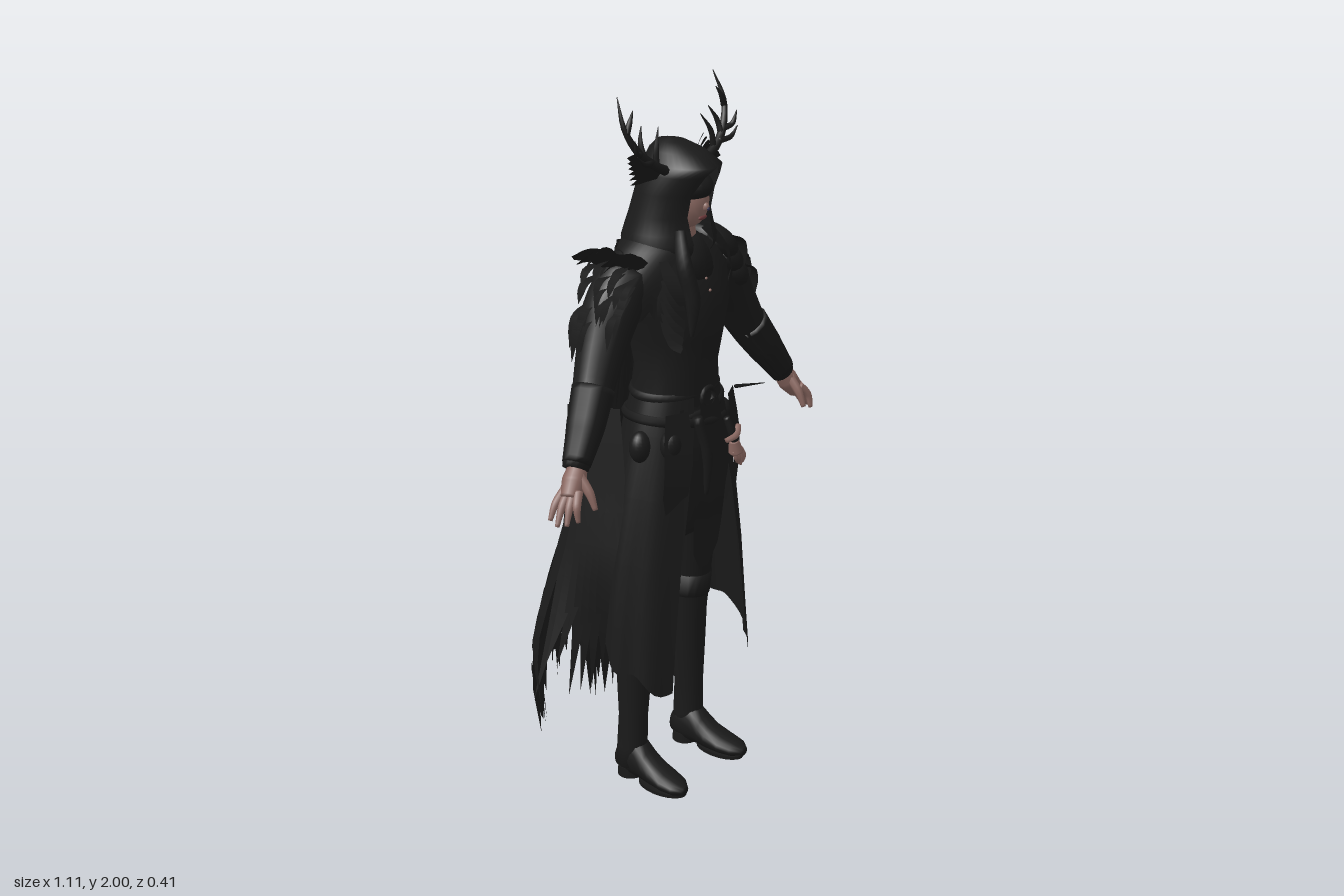
import * as THREE from 'three';

const V = (p) => new THREE.Vector3(...p);
let seed = 7;
const rnd = (a, b) => { seed = (seed * 16807) % 2147483647; return a + (b - a) * (seed / 2147483647); };
const lerp = THREE.MathUtils.lerp;

// linear lookup in evenly spaced values
function sample(arr, t) {
  const f = THREE.MathUtils.clamp(t, 0, 1) * (arr.length - 1), i = Math.min(Math.floor(f), arr.length - 2);
  return lerp(arr[i], arr[i + 1], f - i);
}

// surface from a point rule: j runs across, i runs upward
function grid(cols, rows, fn, closed) {
  const pos = [], idx = [], n = closed ? cols : cols + 1;
  for (let i = 0; i <= rows; i++) for (let j = 0; j < n; j++) pos.push(...fn(j / cols, i));
  for (let i = 0; i < rows; i++) for (let j = 0; j < cols; j++) {
    const a = i * n + j, b = i * n + (j + 1) % n;
    idx.push(a, b, b + n, a, b + n, a + n);
  }
  const g = new THREE.BufferGeometry();
  g.setAttribute('position', new THREE.Float32BufferAttribute(pos, 3));
  g.setIndex(idx);
  g.computeVertexNormals();
  return g;
}

// rings [cx, cy, cz, rx, rz] from bottom to top, capped
function loft(rings, sides = 24) {
  const r = [[...rings[0].slice(0, 3), 0, 0], ...rings, [...rings.at(-1).slice(0, 3), 0, 0]];
  return grid(sides, r.length - 1, (u, i) => {
    const a = u * Math.PI * 2, [x, y, z, rx, rz] = r[i];
    return [x + rx * Math.sin(a), y, z + rz * Math.cos(a)];
  }, true);
}

// shell open at the front: rings [y, rx, zFront, zBack, openingDegrees]
function openShell(rings, cols, warp = (p) => p) {
  return grid(cols, rings.length - 1, (u, i) => {
    const [y, rx, zf, zb, open] = rings[i], o = open * Math.PI / 180, a = lerp(o, Math.PI * 2 - o, u);
    return warp([rx * Math.sin(a), y, (zf + zb) / 2 + (zf - zb) / 2 * Math.cos(a)], a, i / (rings.length - 1));
  });
}

// tapered round limb along a curve
function limb(points, radii, sides = 8, rows = 14) {
  const c = new THREE.CatmullRomCurve3(points.map(V)), f = c.computeFrenetFrames(rows);
  return grid(sides, rows + 2, (u, i) => {
    const k = THREE.MathUtils.clamp(i - 1, 0, rows), r = i === 0 || i === rows + 2 ? 0 : sample(radii, k / rows);
    const a = u * Math.PI * 2;
    return c.getPointAt(k / rows).addScaledVector(f.normals[k], r * Math.cos(a))
      .addScaledVector(f.binormals[k], r * Math.sin(a)).toArray();
  }, true);
}

// thin feather or cloth strip along a curve
function strip(points, width, dir, profile = [0.6, 1, 0.95, 0.7, 0]) {
  const c = new THREE.CatmullRomCurve3(points.map(V)), d = V(dir).normalize();
  return grid(2, 8, (u, i) => c.getPoint(i / 8).addScaledVector(d, (u - 0.5) * width * sample(profile, i / 8)).toArray());
}

// cape: rows [y, xRight, xLeft, zBack]
const capeRows = [[1.58, -.18, .18, -.08], [1.4, -.2, .22, -.103], [1.1, -.253, .28, -.138], [.8, -.335, .28, -.165], [.5, -.445, .26, -.188], [.1, -.4, .21, -.195]];
function capePoint(u, y, off = 0) {
  let i = 0;
  while (i < capeRows.length - 2 && y < capeRows[i + 1][0]) i++;
  const a = capeRows[i], b = capeRows[i + 1], t = (a[0] - y) / (a[0] - b[0]);
  const [, x0, x1, back] = a.map((n, k) => lerp(n, b[k], t));
  return [lerp(x0, x1, (u + 1) / 2), y, back + 0.1 * Math.abs(u) ** 3.5 + 0.007 * Math.sin(u * 24 + y * 3) - off];
}
const hem = (u) => sample([.36, .16, .32, .38, .35, .24, .19, .21, .28, .38, .44], (u + 1) / 2);

export function createModel() {
  const model = new THREE.Group();
  const mat = (name, color) => Object.assign(new THREE.MeshStandardMaterial({ color, side: THREE.DoubleSide }), { name });
  const cloth = mat('black cloth', 0x1a1a1a), leather = mat('dark leather', 0x191919);
  const skin = mat('skin', 0x8a6861), lip = mat('lips', 0x6e3a3c), gem = mat('blue gem', 0x2b2b4a);
  const add = (name, geo, m = cloth) => {
    const mesh = new THREE.Mesh(geo, m);
    mesh.name = name;
    model.add(mesh);
    return mesh;
  };
  const ball = (name, p, s, m) => { const b = add(name, new THREE.SphereGeometry(1, 20, 14), m); b.position.set(...p); b.scale.set(...s); return b; };

  // body
  add('torso', loft([[0, 1.05, .04, .15, .11], [0, 1.14, .045, .14, .11], [0, 1.25, .05, .122, .108], [0, 1.34, .05, .138, .123],
    [0, 1.42, .05, .165, .128], [0, 1.5, .035, .19, .115], [0, 1.56, .02, .16, .09], [0, 1.6, .02, .06, .06]]));
  add('neck', limb([[0, 1.54, .06], [0, 1.68, .06]], [.05, .038]), skin);
  add('tunicSkirt', loft([[0, .76, .03, .155, .09], [0, .95, .035, .165, .105], [0, 1.14, .045, .143, .113]]));

  // head
  ball('face', [0, 1.705, .078], [.054, .078, .07], skin);
  ball('nose', [0, 1.694, .146], [.009, .012, .011], skin);
  ball('noseGem', [0, 1.69, .156], [.005, .005, .004], gem);
  ball('lips', [0, 1.664, .137], [.017, .006, .006], lip);
  ball('eyeMask', [0, 1.743, .083], [.064, .045, .075], leather);

  // hood and shoulder mantle
  add('hood', openShell([[1.565, .128, .135, -.08, 18], [1.58, .136, .145, -.094, 18], [1.6, .135, .147, -.097, 18], [1.625, .127, .14, -.09, 20], [1.67, .114, .132, -.076, 24],
    [1.73, .105, .148, -.06, 27], [1.78, .095, .172, -.05, 18], [1.805, .084, .183, -.043, 0], [1.835, .061, .135, -.028, 0], [1.855, .032, .08, -.008, 0], [1.862, 0, .03, .03, 0]], 36));
  add('mantle', openShell([[1.42, .2, .15, -.095, 50], [1.48, .225, .15, -.1, 45], [1.54, .21, .145, -.094, 36], [1.59, .16, .13, -.083, 22], [1.62, .11, .11, -.07, 20]], 36,
    (p, a, t) => [p[0], p[1] + (t === 0 ? .02 * Math.sin(a * 17) : 0), p[2]]));
  add('collar', loft([[0, 1.5, .06, .11, .09], [0, 1.56, .06, .08, .08], [0, 1.605, .06, .054, .054]]));

  // antlers, ear feathers, arms and legs, mirrored
  for (const s of [1, -1]) {
    const side = s > 0 ? 'left' : 'right';
    const M = (pts) => pts.map(([x, y, z]) => [x * s, y, z]);
    const tines = [
      [[.07, 1.79, .08], [.13, 1.82, .08], [.18, 1.865, .065], [.207, 1.925, .045], [.198, 2, .015]],
      [[.12, 1.81, .08], [.115, 1.86, .075], [.088, 1.91, .06]],
      [[.16, 1.84, .075], [.16, 1.88, .06], [.14, 1.92, .045]],
      [[.175, 1.855, .07], [.2, 1.865, .08], [.213, 1.9, .085]],
      [[.203, 1.91, .05], [.19, 1.94, .05], [.172, 1.965, .045]],
      [[.14, 1.83, .08], [.18, 1.835, .09], [.21, 1.86, .09]]];
    tines.forEach((t, i) => add(side + 'Antler', limb(M(t), i ? [.009, .007, .001] : [.014, .012, .01, .007, .001], 7), leather));
    for (let k = 0; k < 6; k++)
      add(side + 'EarFeather', strip(M([[.08, 1.79, .07 - k * .006], [.13, 1.79 + k * .007, .065 - k * .008], [.19 - k * .006, 1.775 + k * .012, .05 - k * .007]]), .036, [.2 * s, 1, .4]));

    // sleeve, cuff and hand
    add(side + 'Sleeve', limb(M([[.16, 1.52, .015], [.21, 1.47, .015], [.27, 1.37, .022], [.34, 1.25, .042], [.4, 1.165, .065], [.455, 1.088, .08]]), [.075, .078, .066, .055, .049, .035], 14, 20));
    add(side + 'Bracer', limb(M([[.335, 1.265, .042], [.4, 1.168, .065], [.45, 1.1, .08]]), [.057, .051, .038], 12), leather);
    add(side + 'Palm', limb(M([[.44, 1.1, .08], [.475, 1.055, .09], [.5, 1.025, .098]]), [.024, .032, .025], 10), skin);
    [[.55, .975, .075], [.552, .965, .1], [.54, .968, .122], [.515, .975, .14]].forEach((t, k) =>
      add(side + 'Finger', limb(M([[.487, 1.045, .075 + k * .014], [.527 - k * .005, 1.012, .073 + k * .02], t]), [.013, .011, .006], 7), skin));
    add(side + 'Thumb', limb(M([[.462, 1.075, .1], [.462, 1.035, .135], [.462, .995, .153]]), [.015, .013, .007], 7), skin);

    // legs and boots
    const widths = [[.041, .046], [.04, .046], [.04, .043], [.049, .05], [.052, .053], [.054, .056], [.07, .072], [.08, .085]];
    add(side + 'Leg', loft(M([[.13, .04, -.006], [.13, .1, -.003], [.128, .2, 0], [.124, .33, 0], [.122, .45, .003], [.117, .55, .015], [.11, .75, .025], [.088, 1, .03]])
      .map((p, i) => [...p, ...widths[i]]), 18));
    add(side + 'BootCuff', loft([[.12 * s, .5, .008, .056, .059], [.117 * s, .57, .015, .058, .062]], 18), leather);
    const foot = loft([[.127, -.05, -.05, .026, .035], [.127, -.02, -.06, .04, .056], [.128, .03, -.064, .042, .062], [.13, .06, -.05, .043, .047], [.131, .085, -.04, .045, .037],
      [.135, .13, -.03, .046, .027], [.138, .17, -.025, .038, .021], [.14, .197, -.023, .015, .013]].map((r) => [r[0] * s, ...r.slice(1)]), 16);
    add(side + 'Boot', foot.rotateX(Math.PI / 2), leather);
    add(side + 'Heel', new THREE.CylinderGeometry(.036, .038, .03, 16).translate(.127 * s, .015, -.012), leather);
    add(side + 'Sole', new THREE.CylinderGeometry(1, 1, .01, 20).scale(.044, 1, .08).translate(.135 * s, .005, .112), leather);

    // upper arm feathers, fuller on the right shoulder
    const n = s < 0 ? 24 : 14;
    for (let k = 0; k < n; k++) {
      const t = k / n, a = rnd(-1, 1), out = s < 0 ? .06 : .04;
      const x = lerp(.17, .25, t) + .06 * Math.cos(a), y = lerp(1.55, 1.42, t), z = .015 + .08 * Math.sin(a);
      const lift = s < 0 ? .045 * (1 - t * 2) : -.03;
      add(side + 'ArmFeather', strip(M([[x - .03, y + .02, z], [x + out * .4, y + lift * .3, z * 1.15], [x + out * .6 + .01, y + lift - .06, z * 1.2]]), .042, [.3 * s * Math.cos(a), .2, 1]));
    }
  }
  for (let k = 0; k < 8; k++)
    add('rightShoulderPlume', strip([[-.17, 1.56, .08 - k * .02], [-.23, 1.57 + rnd(0, .02), .07 - k * .02], [-.295 + rnd(-.01, .04), 1.535 + rnd(0, .1), .06 - k * .018]], .05, [.3, 1, .8]));
  for (let k = 0; k < 3; k++) {
    const p = ball('leftShoulderPlate', [.183 + k * .026, 1.53 - k * .045, .014], [.082 - k * .004, .052, .092], leather);
    p.rotation.z = -.75;
  }

  // braid, chest feathers and buttons
  add('braid', limb([[-.075, 1.64, .12], [-.1, 1.56, .155], [-.09, 1.47, .175], [-.095, 1.37, .178]], [.015, .022, .022, .005]));
  for (let k = 0; k < 6; k++)
    add('chestFeather', strip([[-.13, 1.57 - k * .03, .11], [-.13, 1.5 - k * .03, .15], [-.1 - k * .006, 1.43 - k * .02, .168]], .04, [1, 0, .5]));
  for (const y of [1.47, 1.5]) ball('button', [0, y, y === 1.5 ? .15 : .164], [.004, .004, .004], skin);

  // coat skirt, open at the front and longer there
  add('coat', openShell([[.34, .262, .215, -.125, 40], [.5, .252, .207, -.128, 37], [.7, .232, .2, -.122, 34], [.9, .2, .19, -.108, 29], [1.08, .165, .17, -.08, 22], [1.18, .135, .155, -.06, 20]], 60,
    (p, a, t) => {
      const k = 1 + .03 * (1 - t) * Math.sin(a * 11), rise = (1 - t) ** 2;
      return [p[0] * k, p[1] + rise * (.11 * (1 - Math.cos(a)) - .028 + .015 * Math.sin(a * 9)), p[2] * k];
    }));

  // front panels
  add('frontPanel', strip([[0, 1.16, .165], [0, .98, .178], [0, .82, .165], [0, .66, .15]], .13, [1, 0, 0], [.6, .75, .9, 1, 1, 1, .95, .85, .3]));
  for (const x of [-.115, -.06, .065, .12])
    add('sidePanel', strip([[x, 1.15, .145], [x * 1.1, 1, .16], [x * 1.2, .8 + Math.abs(x) * .3, .145]], .085, [1, 0, -x * 4], [.8, 1, 1, .9, .3]));

  // belts, pouches and charms
  const belt = (y, tilt, r) => {
    const b = add('belt', new THREE.TorusGeometry(1, .09, 6, 40).rotateX(Math.PI / 2).scale(r, .16, r * .78), leather);
    b.position.set(0, y, .045);
    b.rotation.z = tilt;
  };
  belt(1.18, 0, .131); belt(1.13, .12, .144); belt(1.1, -.16, .153);
  add('buckle', new THREE.TorusGeometry(.026, .007, 6, 16).translate(0, 1.17, .16), leather);
  for (const [x, y, z] of [[-.12, 1.06, .13], [-.165, 1.05, .06], [.15, 1.06, .09]]) ball('pouch', [x, y, z], [.034, .045, .03], leather);
  add('knifeSheath', limb([[-.06, 1.13, .17], [-.035, 1.02, .185], [-.03, .9, .18]], [.014, .016, .006]), leather);
  add('charmCord', limb([[.07, 1.09, .17], [.085, 1.03, .185], [.09, 1.01, .185]], [.009, .012, .012]), leather);
  add('charmBone', limb([[.05, 1.03, .185], [.08, 1.04, .195], [.105, 1.06, .185]], [.008, .01, .008], 6), skin);
  add('driedHand', limb([[.085, 1.02, .185], [.095, .985, .185]], [.014, .021]), skin);
  for (let k = 0; k < 4; k++)
    add('driedFinger', limb([[.082 + k * .01, .99, .187], [.09 + k * .011, .965, .192], [.1 + k * .008, .94 + Math.abs(k - 2) * .006, .186]], [.008, .007, .004], 6), skin);

  // quiver with arrows and a hanging strap
  add('quiver', limb([[.255, 1.2, -.08], [.265, .9, -.065], [.264, .62, -.045]], [.04, .046, .05, .048], 14), leather);
  for (let k = 0; k < 5; k++) {
    const x = .245 + k * .01, z = -.11 + (k % 3) * .022, top = 1.25 + (k % 2) * .03;
    add('arrow', limb([[x, 1.1, z], [x + .015, top, z - .01]], [.004, .004], 6), leather);
    add('fletching', strip([[x + .004, top - .08, z], [x + .015, top, z - .01]], .03, [1, 0, .5], [.3, 1, 1, .8]), leather);
  }
  add('sideSpike', limb([[.23, 1.11, .08], [.335, 1.095, .105]], [.006, .001], 6), leather);
  add('hangingStrap', limb([[.27, 1.05, -.03], [.3, .85, -.03], [.338, .71, -.04], [.335, .66, -.05], [.3, .68, -.06]], [.008, .01, .009], 6), leather);

  // tattered cape with layered feather strips
  add('cape', grid(60, 24, (u, i) => {
    const w = u * 2 - 1;
    return capePoint(w, lerp(hem(w) + .09 + .04 * Math.sin(w * 40), 1.585, i / 24));
  }));
  const capeStrip = (name, u, top, bottom, width, off) => {
    const mid = (top + bottom) / 2, a = capePoint(u - .04, mid), b = capePoint(u + .04, mid);
    add(name, strip([0, .33, .67, 1].map((t) => capePoint(u, lerp(top, bottom, t), off * Math.sin(t * 3))), width, [b[0] - a[0], 0, b[2] - a[2]]));
  };
  for (let k = 0; k <= 26; k++) {
    const u = -1 + k / 13;
    capeStrip('capeTatter', u, hem(u) + rnd(.4, .7), hem(u) + rnd(-.06, .03), rnd(.045, .065), .006);
  }
  for (let k = 0; k < 70; k++) {
    const top = rnd(.75, 1.56);
    capeStrip('capeFeather', rnd(-.95, .95), top, top - rnd(.18, .34), rnd(.04, .06), .009);
  }
  for (let k = 0; k < 7; k++) {
    const x = -.19 - k * .007, z = .02 - k * .018;
    add('sideTatter', strip([[x, 1.15, z - .03], [x - .035, .9, z], [x - .09, .65, z], [x - .07 - k * .021, rnd(.33, .45), z - .02]], .05, [.7, 0, 1]));
  }
  return model;
}
